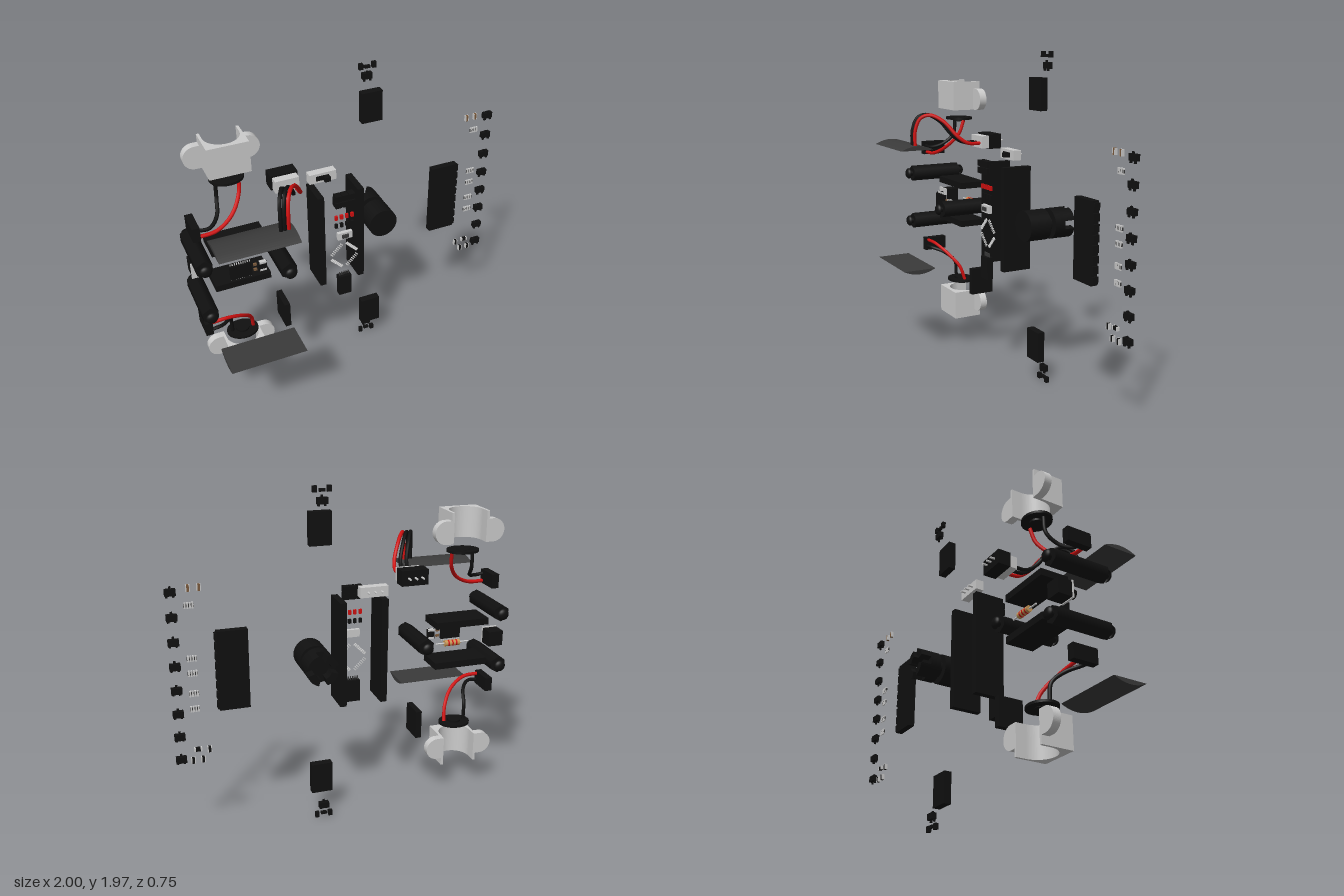
import * as THREE from 'three';

const mat = (color, side = THREE.FrontSide) => new THREE.MeshStandardMaterial({ color, side });
const BLACK = mat(0x101010), DARK = mat(0x3a3a3a), GREY = mat(0xcccccc), RED = mat(0xd01010),
  TAN = mat(0xc89858), BROWN = mat(0x7a5a3c);

export function createModel() {
  const root = new THREE.Group();
  const add = (name, geo, m) => {
    const mesh = new THREE.Mesh(geo, m);
    mesh.name = name;
    root.add(mesh);
    return mesh;
  };
  // box from its min and max corners
  const box = (name, x0, x1, y0, y1, z0, z1, m = BLACK) =>
    add(name, new THREE.BoxGeometry(x1 - x0, y1 - y0, z1 - z0)
      .translate((x0 + x1) / 2, (y0 + y1) / 2, (z0 + z1) / 2), m);
  // box centred in x and y
  const part = (name, x, y, w, h, z0, z1, m = BLACK) =>
    box(name, x - w / 2, x + w / 2, y - h / 2, y + h / 2, z0, z1, m);
  // cylinder along z
  const rod = (name, x, y, r, z0, z1, m = BLACK, n = 24) =>
    add(name, new THREE.CylinderGeometry(r, r, z1 - z0, n).rotateX(Math.PI / 2)
      .translate(x, y, (z0 + z1) / 2), m);
  const wire = (name, pts, m) => add(name, new THREE.TubeGeometry(
    new THREE.CatmullRomCurve3(pts.map(p => new THREE.Vector3(...p))), 40, 0.011, 8), m);

  // small three-legged transistor
  const transistor = (x, y) => {
    part('transistor', x, y, 0.058, 0.036, -0.27, -0.243);
    for (const dx of [-0.018, 0.018]) part('transistorLeg', x + dx, y - 0.023, 0.012, 0.014, -0.255, -0.245);
    part('transistorLeg', x, y + 0.023, 0.012, 0.014, -0.255, -0.245);
  };
  // two-ended surface chip
  const chipPart = (x, y, w, h, m = BLACK) => {
    part('chipPart', x, y, w * 0.6, h, -0.256, -0.24, m);
    for (const s of [-1, 1]) part('chipPartEnd', x + s * w * 0.4, y, w * 0.2, h, -0.257, -0.239, GREY);
  };

  // parts that repeat mirrored above and below the centre line
  for (const s of [1, -1]) {
    const Y = y => (s > 0 ? y : 1.97 - y);
    const span = (a, b) => (s > 0 ? [a, b] : [Y(b), Y(a)]);

    // U-shaped bracket, open to the back, with rounded side ears
    const u = new THREE.Shape();
    u.moveTo(-0.84, -0.22);
    u.lineTo(-0.84, -0.035);
    u.lineTo(-0.61, -0.035);
    u.lineTo(-0.61, -0.22);
    u.lineTo(-0.625, -0.22);
    u.lineTo(-0.625, -0.16);
    u.absarc(-0.725, -0.16, 0.1, 0, Math.PI, false);
    u.lineTo(-0.825, -0.22);
    const [b0, b1] = span(1.59, 1.77);
    add('bracket', new THREE.ExtrudeGeometry(u, { depth: b1 - b0, bevelEnabled: false, curveSegments: 20 })
      .rotateX(Math.PI / 2).translate(0, b1, 0), GREY);
    for (const side of [-1, 1]) {
      const edge = -0.725 + side * 0.11, c = -0.725 + side * 0.145;
      const ear = new THREE.Shape();
      ear.moveTo(edge, -0.067);
      ear.lineTo(c, -0.067);
      ear.absarc(c, 0, 0.067, -Math.PI / 2, Math.PI / 2, side < 0);
      ear.lineTo(edge, 0.067);
      add('bracketEar', new THREE.ExtrudeGeometry(ear, { depth: 0.045, bevelEnabled: false, curveSegments: 16 })
        .translate(0, Y(1.657), -0.22), GREY);
    }

    // round sensor disc with its two leads and plug
    add('disc', new THREE.CylinderGeometry(0.096, 0.096, 0.014, 32).scale(1, 1, 0.85)
      .translate(-0.727, Y(1.53), -0.13), BLACK);
    add('discHub', new THREE.CylinderGeometry(0.04, 0.04, 0.028, 24).translate(-0.727, Y(1.525), -0.13), BLACK);
    wire('blackLead', [[-0.79, Y(1.52), -0.13], [-0.795, Y(1.42), -0.12], [-0.82, Y(1.355), -0.05],
      [-0.88, Y(1.33), 0.01], [-0.95, Y(1.335), 0.015]], BLACK);
    wire('redLead', [[-0.66, Y(1.52), -0.13], [-0.675, Y(1.43), -0.1], [-0.74, Y(1.345), -0.04],
      [-0.84, Y(1.295), 0], [-0.95, Y(1.29), 0.01]], RED);
    box('plug', -0.98, -0.937, ...span(1.275, 1.36), -0.12, 0.03);

    // shallow curved pad
    const pad = new THREE.Shape();
    pad.moveTo(-0.107, 0);
    pad.quadraticCurveTo(0, s * 0.055, 0.107, 0);
    add('curvedPad', new THREE.ExtrudeGeometry(pad, { depth: 0.44, bevelEnabled: false, curveSegments: 16 })
      .rotateY(Math.PI / 2).translate(-0.935, Y(1.365), 0.268), DARK);

    // socket strip
    box('socketStrip', -0.875, -0.545, ...span(1.09, 1.13), -0.22, -0.05);

    // module and its small parts on the outer column
    box('module', 0.09, 0.215, ...span(1.64, 1.825), -0.22, -0.175);
    transistor(0.155, Y(1.89));
    for (const dx of [-0.04, 0.04]) part('moduleChip', 0.155 + dx, Y(1.952), 0.024, 0.034, -0.262, -0.242);
    part('moduleChip', 0.155, Y(1.945), 0.034, 0.016, -0.262, -0.245);
  }

  // hexagonal standoffs with a screw in each end
  for (const [x, y] of [[-0.957, 1.15], [-0.957, 0.825], [-0.485, 0.985]]) {
    const hex = rod('standoff', 0, 0, 0.051, -0.22, 0.115, BLACK, 6);
    hex.position.set(x, y, 0);
    hex.material = BLACK;
    rod('screwShaft', x, y, 0.018, -0.245, 0.14);
    for (const [z, d] of [[0.135, 1], [-0.24, -1]])
      add('screwHead', new THREE.SphereGeometry(0.035, 20, 8, 0, Math.PI * 2, 0, Math.PI / 2)
        .scale(1, 0.65, 1).rotateX(d * Math.PI / 2).translate(x, y, z), mat(0x101010, THREE.DoubleSide));
  }

  // three-wire lead from the upper pad to its plug
  [[-0.57, -0.44, BLACK], [-0.548, -0.4, BLACK], [-0.526, -0.36, RED]].forEach(([a, b, m]) => {
    const mix = t => a + (b - a) * t;
    wire('padWire', [[a, 1.37, 0.27], [a, 1.48, 0.27], [mix(0.1), 1.56, 0.24], [mix(0.3), 1.58, 0.19],
      [mix(0.6), 1.54, 0.12], [mix(0.9), 1.45, 0.05], [b, 1.41, -0.01], [b, 1.405, -0.1]], m);
    rod('plugPin', b, 1.415, 0.006, -0.25, -0.21, GREY, 8);
  });
  box('plugBase', -0.48, -0.32, 1.37, 1.46, -0.22, -0.14);
  box('plugTop', -0.47, -0.33, 1.375, 1.45, -0.14, -0.09, GREY);
  box('sideSocket', -0.47, -0.435, 0.41, 0.58, -0.22, -0.07);

  // push button
  part('buttonBody', -0.942, 0.985, 0.09, 0.09, -0.2, -0.115);
  part('buttonPlate', -0.942, 0.985, 0.095, 0.1, -0.115, -0.105, GREY);
  rod('buttonCap', -0.942, 0.985, 0.026, -0.105, -0.07);

  // driver chip with legs, and neighbours
  part('driverChip', -0.735, 0.99, 0.125, 0.088, -0.008, 0.012);
  for (let i = 0; i < 10; i++)
    part('driverLeg', -0.791 + i * 0.0125, 0.99, 0.005, 0.112, -0.006, 0, GREY);
  part('capacitor', -0.605, 0.985, 0.044, 0.06, -0.01, 0.01);
  for (const dy of [-0.024, 0.024]) part('capacitorEnd', -0.605, 0.985 + dy, 0.04, 0.012, -0.012, 0.012, GREY);
  for (const y of [0.97, 1.005]) part('smallChip', -0.65, y, 0.02, 0.014, -0.006, 0.006, BROWN);

  // resistor lying across the strips
  const along = (name, r, x0, x1, m) => add(name, new THREE.CylinderGeometry(r, r, x1 - x0, 16)
    .rotateZ(Math.PI / 2).translate((x0 + x1) / 2, 0.985, -0.18), m);
  along('resistorLead', 0.005, -0.77, -0.56, GREY);
  along('resistorBody', 0.018, -0.71, -0.615, TAN);
  for (const x of [-0.692, -0.668, -0.644]) along('resistorBand', 0.0187, x, x + 0.009, RED);

  // controller: two long sockets and the components between them
  for (const x of [-0.224, 0.022]) box('longSocket', x - 0.019, x + 0.019, 0.68, 1.305, -0.22, -0.04);
  box('switchBody', -0.24, -0.075, 1.325, 1.385, -0.22, -0.17, GREY);
  part('switchSlot', -0.16, 1.354, 0.08, 0.03, -0.172, -0.167);
  part('switchKnob', -0.14, 1.354, 0.036, 0.028, -0.17, -0.135);
  for (const x of [-0.2, -0.16, -0.12]) rod('switchPin', x, 1.355, 0.006, -0.25, -0.21, GREY, 8);
  part('pinBlock', -0.103, 1.295, 0.125, 0.05, -0.015, 0.01);
  for (let i = 0; i < 6; i++)
    part('pinPost', -0.143 + (i % 3) * 0.041, i < 3 ? 1.275 : 1.317, 0.036, 0.036, -0.018, 0.027);
  for (let i = 0; i < 4; i++) {
    const x = -0.15 + i * 0.033;
    part('redLight', x, 1.175, 0.017, 0.026, -0.01, 0.005, RED);
    part('lightResistor', x, 1.12, 0.017, 0.026, -0.01, 0.005);
  }
  part('resetBody', -0.1, 1.045, 0.09, 0.046, -0.012, 0.01, GREY);
  part('resetCap', -0.1, 1.045, 0.04, 0.022, 0.01, 0.02, DARK);
  // ring of processor legs, turned on its corner
  for (let k = 0; k < 4; k++)
    for (let i = 0; i < 8; i++) {
      const leg = add('processorLeg', new THREE.BoxGeometry(0.006, 0.018, 0.008)
        .translate((i - 3.5) * 0.0125, 0.068, 0).rotateZ(Math.PI / 4 + k * Math.PI / 2), GREY);
      leg.position.set(-0.1, 0.895, -0.008);
    }
  box('usbSocket', -0.145, -0.065, 0.615, 0.75, -0.025, 0.015);
  for (let i = 0; i < 5; i++) part('usbPin', -0.133 + i * 0.014, 0.76, 0.006, 0.025, -0.01, -0.004, DARK);

  // round jack with a slotted rear nut
  rod('jackBarrel', 0.19, 0.985, 0.09, -0.22, -0.085, BLACK, 32);
  rod('jackNeck', 0.19, 0.985, 0.05, -0.26, -0.21, BLACK, 32);
  rod('jackRear', 0.19, 0.985, 0.09, -0.315, -0.25, BLACK, 32);
  for (let k = 0; k < 4; k++) {
    const a0 = k * Math.PI / 2 + 0.28, a1 = (k + 1) * Math.PI / 2 - 0.28;
    const jaw = new THREE.Shape();
    jaw.absarc(0, 0, 0.09, a0, a1, false);
    jaw.absarc(0, 0, 0.05, a1, a0, true);
    add('jackJaw', new THREE.ExtrudeGeometry(jaw, { depth: 0.07, bevelEnabled: false, curveSegments: 8 })
      .translate(0.19, 0.985, -0.378), BLACK);
  }

  // long terminal block with a toothed edge
  box('terminalBlock', 0.565, 0.735, 0.755, 1.215, -0.22, -0.18);
  for (let i = 0; i < 8; i++) part('terminalTooth', 0.738, 0.785 + i * 0.057, 0.016, 0.042, -0.22, -0.182);

  // outer column of transistors and chips
  for (let i = 0; i < 8; i++) transistor(0.969, 0.51 + i * 0.1367);
  for (const y of [1.387, 1.092, 1.007, 0.89, 0.8])
    for (let i = 0; i < 4; i++) {
      part('arrayBody', 0.857 + i * 0.0135, y, 0.009, 0.034, -0.254, -0.244, GREY);
      part('arrayBar', 0.857 + i * 0.0135, y, 0.0135, 0.018, -0.253, -0.245, DARK);
    }
  for (const x of [0.82, 0.877]) chipPart(x, 1.48, 0.022, 0.036, BROWN);
  for (const [x, y, w, h] of [[0.81, 0.547, 0.024, 0.034], [0.874, 0.555, 0.044, 0.022],
    [0.848, 0.49, 0.024, 0.034], [0.903, 0.49, 0.024, 0.034]]) chipPart(x, y, w, h);

  return root;
}
